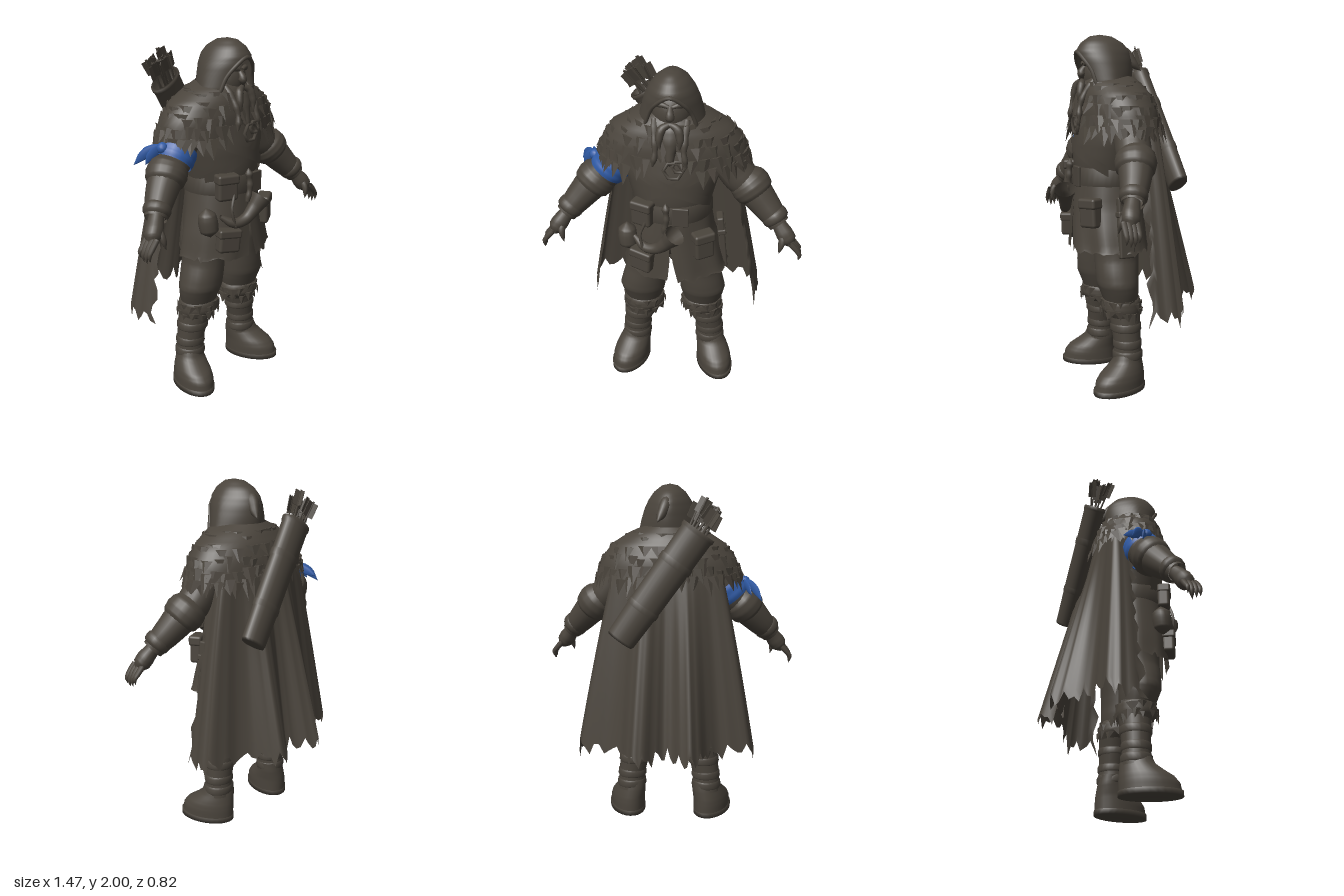
import * as THREE from 'three';
import { mergeGeometries, mergeVertices } from 'three/addons/utils/BufferGeometryUtils.js';
import { RoundedBoxGeometry } from 'three/addons/geometries/RoundedBoxGeometry.js';

const V = (x, y, z) => new THREE.Vector3(x, y, z);
const lerp = THREE.MathUtils.lerp;
let seed = 7;
const rnd = () => (seed = (seed * 16807) % 2147483647) / 2147483647;

// Smooth surface from a rule (u, v in 0..1) -> point
function grid(fn, nu, nv) {
  const pos = [], idx = [];
  for (let j = 0; j <= nv; j++) for (let i = 0; i <= nu; i++) pos.push(...fn(i / nu, j / nv).toArray());
  for (let j = 0; j < nv; j++) for (let i = 0; i < nu; i++) {
    const a = j * (nu + 1) + i, b = a + nu + 1;
    idx.push(a, b, a + 1, b, b + 1, a + 1);
  }
  let g = new THREE.BufferGeometry();
  g.setAttribute('position', new THREE.Float32BufferAttribute(pos, 3));
  g.setIndex(idx);
  g = mergeVertices(g, 1e-5);
  g.computeVertexNormals();
  return g;
}

// Rings run top to bottom: [y, half width, front z, back z, centre x, opening half-angle at the front]
function ringPoint(rings, y, t, grow = 0) {
  let k = 0;
  while (k < rings.length - 2 && y < rings[k + 1][0]) k++;
  const A = rings[k], B = rings[k + 1], f = THREE.MathUtils.clamp((A[0] - y) / (A[0] - B[0] || 1), 0, 1);
  const [rx, zf, zb, cx, op] = [1, 2, 3, 4, 5].map(n => lerp(A[n] ?? 0, B[n] ?? 0, f));
  const a = lerp(op, Math.PI * 2 - op, t);
  return V(cx + (rx + grow) * Math.sin(a), y, (zf + zb) / 2 + ((zf - zb) / 2 + grow) * Math.cos(a));
}
const shell = (rings, seg = 32, sub = 3, move = p => p) => grid((u, v) => {
  const s = v * (rings.length - 1), k = Math.min(Math.floor(s), rings.length - 2), A = rings[k], B = rings[k + 1];
  // flat steps have no height, so blend their two rings directly
  const p = A[0] === B[0] ? ringPoint([A, A], A[0], u).lerp(ringPoint([B, B], B[0], u), s - k) : ringPoint([A, B], lerp(A[0], B[0], s - k), u);
  return move(p, u, v);
}, seg, (rings.length - 1) * sub);

// Round limb along a path; the radii are spread evenly over its length
function limb(points, radii, seg = 12, n = 20, flat = 1) {
  const c = new THREE.CatmullRomCurve3(points.map(p => V(...p)));
  const fr = c.computeFrenetFrames(n, false);
  return grid((u, v) => {
    const j = Math.round(v * n), s = v * (radii.length - 1), k = Math.min(Math.floor(s), radii.length - 2);
    const r = lerp(radii[k], radii[k + 1], s - k), a = u * Math.PI * 2;
    return c.getPointAt(v).addScaledVector(fr.normals[j], r * Math.cos(a)).addScaledVector(fr.binormals[j], r * flat * Math.sin(a));
  }, seg, n);
}

// Rows of pointed fur tufts hanging on a ring surface
function furTufts(rings, rows, len, width, flare) {
  const pos = [];
  for (const [y, count] of rows) for (let i = 0; i < count; i++) {
    const t = (i + 0.3 + rnd() * 0.4) / count, yy = y + (rnd() - 0.5) * 0.03;
    const c = ringPoint(rings, yy, t), o = ringPoint(rings, yy, t, 1).sub(c).normalize();
    const side = V(o.z, 0, -o.x).normalize().multiplyScalar(width * (0.7 + rnd() * 0.6));
    const L = c.clone().sub(side), R = c.clone().add(side), M = c.clone().addScaledVector(o, 0.012);
    const T = c.clone().addScaledVector(o, flare * (0.5 + rnd()));
    T.y -= len * (0.7 + rnd() * 0.6);
    T.addScaledVector(side, rnd() - 0.5);
    for (const p of [L, T, M, M, T, R, L, M, R]) pos.push(p.x, p.y, p.z);
  }
  const g = new THREE.BufferGeometry();
  g.setAttribute('position', new THREE.Float32BufferAttribute(pos, 3));
  g.computeVertexNormals();
  return g;
}

export function createModel() {
  seed = 7;
  const brown = new THREE.MeshStandardMaterial({ color: 0x4a443c, side: THREE.DoubleSide, name: 'darkBrown' });
  const blue = new THREE.MeshStandardMaterial({ color: 0x305ba6, side: THREE.DoubleSide, name: 'blueCloth' });
  const model = new THREE.Group();
  const add = (name, geo, mat = brown, parent = model) => {
    const m = new THREE.Mesh(geo, mat);
    m.name = name;
    parent.add(m);
    return m;
  };
  const box = (name, w, h, d, x, y, z, rz = 0, ry = 0) => {
    const m = add(name, new RoundedBoxGeometry(w, h, d, 2, Math.min(w, h, d) * 0.25));
    m.position.set(x, y, z);
    m.rotation.set(0, ry, rz);
  };

  // Torso, belt and split tunic skirt
  const torso = [[1.74, 0.1, 0.18, -0.02], [1.66, 0.22, 0.22, -0.09], [1.55, 0.28, 0.25, -0.11], [1.42, 0.265, 0.275, -0.11],
    [1.3, 0.235, 0.28, -0.1], [1.2, 0.21, 0.27, -0.1], [1.1, 0.22, 0.27, -0.1], [0.9, 0.2, 0.2, -0.06], [0.86, 0, 0.07, 0.07]];
  add('torso', shell(torso));
  const skirt = [[1.2, 0.215, 0.28, -0.105, 0, 0], [1.05, 0.24, 0.295, -0.11, 0, 0.01], [0.92, 0.275, 0.305, -0.12, 0.01, 0.03], [0.78, 0.305, 0.315, -0.13, 0.02, 0.1]];
  add('tunicSkirt', shell(skirt, 60, 4, (p, u, v) => {
    if (v > 0.99) p.y += rnd() * 0.035;
    const w = 0.008 * v * Math.sin(u * 50);
    return p.add(V(w, 0, w));
  }));
  add('belt', shell([[1.265, 0.2, 0.27, -0.1], [1.265, 0.222, 0.292, -0.115], [1.165, 0.228, 0.295, -0.12], [1.165, 0.2, 0.27, -0.1]], 40, 1));
  box('beltBuckle', 0.09, 0.115, 0.02, 0.06, 1.215, 0.29);
  for (const s of [1, -1]) add('chestStrap', grid((u, v) => {
    const a = lerp(-1.2, 1.2, u) * s, y = lerp(1.52, 1.25, u) + (v - 0.5) * 0.06;
    return ringPoint(torso, y, (a / (Math.PI * 2) + 1) % 1, s > 0 ? 0.012 : 0.007);
  }, 24, 2));

  // Legs: baggy trousers, fur cuffs, wrapped boots
  for (const s of [1, -1]) {
    const leg = new THREE.Group();
    leg.name = s > 0 ? 'leftLeg' : 'rightLeg';
    leg.scale.x = s;
    model.add(leg);
    add('trouserLeg', shell([[1.0, 0.1, 0.17, -0.07, 0.12], [0.88, 0.13, 0.22, -0.06, 0.14], [0.76, 0.122, 0.215, -0.04, 0.15], [0.68, 0.13, 0.215, -0.03, 0.168], [0.61, 0.135, 0.21, -0.025, 0.18],
      [0.56, 0.125, 0.19, -0.025, 0.18], [0.48, 0.1, 0.16, -0.02, 0.18]], 24), brown, leg);
    const cuff = [[0.535, 0.09, 0.16, -0.02, 0.178], [0.51, 0.118, 0.182, -0.038, 0.178], [0.46, 0.122, 0.185, -0.042, 0.178], [0.42, 0.1, 0.15, -0.03, 0.19]];
    add('furCuff', shell(cuff, 24), brown, leg);
    add('cuffFur', furTufts(cuff, [[0.51, 13], [0.455, 15]], 0.05, 0.03, 0.006), brown, leg);
    const shaft = [[0.46, 0.098, 0.15, -0.035, 0.19], [0.36, 0.088, 0.138, -0.028, 0.212], [0.26, 0.08, 0.128, -0.025, 0.228], [0.16, 0.084, 0.135, -0.032, 0.232]];
    add('bootShaft', shell(shaft, 24), brown, leg);
    for (const y of [0.36, 0.265, 0.2]) {
      const r = (dy, g) => { const q = ringPoint(shaft, y + dy, 0.25, g), f = ringPoint(shaft, y, 0, g), b = ringPoint(shaft, y, 0.5, g); return [y + dy, q.x - f.x, f.z, b.z, f.x]; };
      add('bootWrap', shell([r(0.024, 0), r(0.014, 0.006), r(-0.014, 0.006), r(-0.024, 0)], 24, 1), brown, leg);
    }
    const turn = p => { p.x += (p.z - 0.08) * 0.2; return p; };
    add('foot', shell([[0.22, 0.08, 0.125, -0.025, 0.232], [0.17, 0.088, 0.145, -0.035, 0.24], [0.135, 0.096, 0.19, -0.04, 0.248], [0.105, 0.102, 0.235, -0.044, 0.254], [0.07, 0.106, 0.262, -0.046, 0.257], [0.025, 0.106, 0.27, -0.046, 0.258]], 28, 3, turn), brown, leg);
    add('sole', shell([[0.03, 0.1, 0.26, -0.04, 0.258], [0.03, 0.11, 0.277, -0.05, 0.26], [0, 0.11, 0.277, -0.05, 0.26], [0, 0, 0.1, 0.1, 0.26]], 28, 1, turn), brown, leg);
  }

  // Arms: sleeve, elbow puff, forearm, cuff and hand
  for (const s of [1, -1]) {
    const arm = new THREE.Group();
    arm.name = s > 0 ? 'leftArm' : 'rightArm';
    arm.scale.x = s;
    model.add(arm);
    add('upperSleeve', limb([[0.2, 1.6, 0.05], [0.29, 1.48, 0.06], [0.36, 1.38, 0.07], [0.44, 1.3, 0.09]], [0.08, 0.105, 0.1, 0.098, 0.085], 20), brown, arm);
    add('elbowPuff', limb([[0.38, 1.375, 0.07], [0.43, 1.32, 0.085], [0.485, 1.255, 0.11]], [0.08, 0.108, 0.114, 0.106, 0.07], 20), brown, arm);
    add('forearm', limb([[0.42, 1.33, 0.08], [0.52, 1.22, 0.125], [0.6, 1.13, 0.17]], [0.1, 0.09, 0.077, 0.06], 18), brown, arm);
    add('sleeveCuff', limb([[0.55, 1.193, 0.143], [0.575, 1.165, 0.155], [0.599, 1.137, 0.167]], [0.06, 0.074, 0.076, 0.072, 0.05], 18, 8), brown, arm);
    add('palm', limb([[0.59, 1.14, 0.165], [0.63, 1.085, 0.19], [0.675, 1.02, 0.21]], [0.04, 0.044, 0.05, 0.048, 0.02], 12, 12), brown, arm);
    for (let i = 0; i < 4; i++) {
      const z = 0.175 + i * 0.023, d = [0.02, 0.005, 0, 0.012][i];
      add('finger', limb([[0.665, 1.05, z], [0.705, 1.005, z + 0.003], [0.722, 0.965 + d, z + 0.004], [0.717, 0.93 + d, z + 0.005]], [0.016, 0.017, 0.015, 0.012, 0], 8, 10), brown, arm);
    }
    add('thumb', limb([[0.62, 1.09, 0.21], [0.618, 1.04, 0.24], [0.606, 0.98, 0.25]], [0.018, 0.02, 0.015, 0], 8, 8), brown, arm);
  }

  // Blue armband with knot and loose tails
  add('armband', limb([[-0.315, 1.437, 0.064], [-0.345, 1.4, 0.067], [-0.375, 1.363, 0.072]], [0.106, 0.112, 0.11, 0.112, 0.104], 24, 10), blue);
  add('armbandKnot', new THREE.SphereGeometry(0.032, 12, 8), blue).position.set(-0.435, 1.455, 0.06);
  for (const e of [[-0.535, 1.36, -0.06], [-0.475, 1.4, -0.09], [-0.515, 1.37, 0.01]])
    add('armbandTail', limb([[-0.42, 1.46, 0.06], [(e[0] - 0.43) / 2, 1.435, (e[2] + 0.06) / 2], e], [0.014, 0.027, 0.025, 0], 8, 10, 0.25), blue);

  // Fur mantle
  const mantle = [[1.77, 0.14, 0.21, -0.06], [1.73, 0.23, 0.235, -0.1], [1.67, 0.325, 0.255, -0.14, 0, 0.02], [1.59, 0.385, 0.27, -0.17, 0, 0.12], [1.49, 0.415, 0.272, -0.185, 0, 0.42]];
  add('mantle', shell(mantle, 48));
  add('mantleFur', furTufts(mantle, [[1.73, 18], [1.67, 22], [1.615, 26], [1.555, 30], [1.505, 36]], 0.09, 0.042, 0.028));

  // Cape: a folded cross-section that widens to a ragged hem
  const curve = a => new THREE.CatmullRomCurve3(a.map(([x, z]) => V(x, 0, z)));
  const capeTop = curve([[-0.27, 0.0], [-0.28, -0.08], [-0.2, -0.11], [-0.1, -0.125], [0, -0.125], [0.1, -0.125], [0.2, -0.11], [0.28, -0.08], [0.27, 0.0]]);
  const capeHem = curve([[-0.49, 0.01], [-0.5, -0.16], [-0.28, -0.23], [-0.15, -0.4], [0, -0.29], [0.15, -0.41], [0.28, -0.24], [0.51, -0.16], [0.5, 0.01]]);
  const hemY = Array.from({ length: 73 }, (_, i) => 0.45 + (i % 4) * 0.02 + rnd() * 0.05 - (i < 9 || i > 63 ? 0.04 : 0));
  add('cape', grid((u, v) => {
    const a = capeTop.getPoint(u), b = capeHem.getPoint(u);
    const p = V(lerp(a.x, b.x, v ** 0.85), lerp(1.6, hemY[Math.round(u * 72)], v), lerp(a.z, b.z, v));
    if (u === 0 || u === 1) p.z += (rnd() - 0.5) * 0.05;
    return p;
  }, 72, 24));

  // Hood, narrower at the back, with rim and curled tip
  const hood = [[2.0, 0, 0.13, 0.13], [1.99, 0.045, 0.19, 0.06], [1.955, 0.09, 0.24, -0.005], [1.91, 0.122, 0.268, -0.045, 0, 0], [1.86, 0.145, 0.268, -0.058, 0, 0.5],
    [1.8, 0.163, 0.255, -0.06, 0, 0.72], [1.73, 0.18, 0.245, -0.055, 0, 0.82], [1.66, 0.175, 0.23, -0.05, 0, 1.0]];
  add('hood', shell(hood, 40, 3, p => {
    p.x *= 1 - 1.6 * Math.max(0, 0.1 - p.z);
    return p;
  }));
  const rimY = [1.67, 1.73, 1.8, 1.86];
  const rim = [...rimY.map(y => ringPoint(hood, y, 0)), V(0, 1.905, 0.268), ...rimY.reverse().map(y => ringPoint(hood, y, 1))];
  add('hoodRim', new THREE.TubeGeometry(new THREE.CatmullRomCurve3(rim), 40, 0.011, 8));
  add('hoodTip', limb([[0.0, 1.93, 0.03], [0.015, 1.89, -0.025], [0.035, 1.84, -0.06], [0.055, 1.8, -0.1]], [0.02, 0.036, 0.032, 0.024, 0], 12, 14));

  // Head, face and beard
  const head = add('head', new THREE.SphereGeometry(0.12, 24, 18));
  head.position.set(0, 1.78, 0.11);
  head.scale.set(0.95, 1.15, 1);
  add('nose', limb([[0, 1.83, 0.215], [0, 1.79, 0.24], [0, 1.755, 0.225]], [0.012, 0.018, 0.026, 0], 10, 10));
  add('beard', shell([[1.76, 0.09, 0.2, 0.1], [1.72, 0.085, 0.25, 0.12], [1.66, 0.065, 0.275, 0.16], [1.6, 0.035, 0.285, 0.2], [1.55, 0.022, 0.292, 0.25], [1.52, 0, 0.28, 0.28]], 20));
  for (const s of [1, -1]) {
    add('brow', limb([[0.01 * s, 1.835, 0.225], [0.045 * s, 1.843, 0.215], [0.085 * s, 1.825, 0.185]], [0.01, 0.016, 0.006], 8, 8));
    add('moustache', limb([[0.005 * s, 1.745, 0.24], [0.04 * s, 1.725, 0.252], [0.055 * s, 1.67, 0.268], [0.05 * s, 1.62, 0.275]], [0.015, 0.024, 0.02, 0.004], 10, 12));
    add('sideBraid', limb([[0.085 * s, 1.75, 0.19], [0.08 * s, 1.68, 0.245], [0.075 * s, 1.6, 0.275], [0.09 * s, 1.52, 0.285]], [0.018, 0.022, 0.016, 0.02, 0.014, 0.018, 0.004], 10, 24));
  }
  for (const [x, y, r] of [[0.02, 1.5, 0.052], [0.05, 1.525, 0.035]])
    add('cloakClasp', new THREE.TorusGeometry(r, 0.01, 8, 6)).position.set(x, y, 0.285);

  // Belt gear: pouches, dagger, scabbard, flask and horn
  box('beltPouch', 0.12, 0.14, 0.07, -0.15, 1.215, 0.26, 0, -0.4);
  box('beltPouchFlap', 0.128, 0.055, 0.078, -0.15, 1.265, 0.262, 0, -0.4);
  box('hipPouch', 0.115, 0.15, 0.07, 0.185, 1.015, 0.255, 0.05, 0.5);
  box('hipPouchFlap', 0.125, 0.06, 0.08, 0.185, 1.075, 0.257, 0.05, 0.5);
  box('lowerPouch', 0.13, 0.13, 0.07, -0.155, 0.915, 0.28, -0.08, -0.4);
  box('lowerPouchFlap', 0.138, 0.05, 0.078, -0.155, 0.96, 0.282, -0.08, -0.4);
  box('scabbard', 0.04, 0.34, 0.09, 0.285, 0.945, 0.085, 0.1, 0.1);
  box('scabbardStrap', 0.05, 0.035, 0.1, 0.28, 1.02, 0.085, 0.1, 0.1);
  add('daggerGrip', limb([[-0.03, 1.12, 0.31], [-0.015, 1.2, 0.315], [-0.02, 1.31, 0.305]], [0.012, 0.018, 0.014, 0.019, 0.014, 0.024, 0], 10, 20));
  add('flask', limb([[-0.25, 1.11, 0.2], [-0.245, 1.03, 0.21], [-0.235, 0.94, 0.22]], [0, 0.048, 0.055, 0.055, 0.052, 0], 14, 14));
  add('horn', limb([[-0.2, 1.06, 0.26], [-0.13, 1.015, 0.305], [-0.06, 1.03, 0.325], [-0.01, 1.08, 0.34], [0.035, 1.14, 0.355]], [0.012, 0.025, 0.03, 0.034, 0.042, 0.06], 16, 24));
  add('hornStrap', limb([[-0.13, 1.18, 0.3], [-0.16, 1.1, 0.31], [-0.14, 1.0, 0.32]], [0.009, 0.009], 6, 8));

  // Quiver slung across the back, wider than deep, with arrows
  const quiver = new THREE.Group();
  quiver.name = 'quiver';
  const low = V(0.25, 1.165, -0.25), high = V(-0.18, 1.765, -0.175);
  quiver.position.copy(low);
  quiver.quaternion.setFromUnitVectors(V(0, 1, 0), high.clone().sub(low).normalize());
  quiver.scale.set(1.5, 1, 0.93);
  model.add(quiver);
  const len = high.distanceTo(low);
  const profile = [[0, 0], [0.052, 0], [0.056, 0.015], [0.06, 0.2], [0.064, 0.205], [0.064, 0.235], [0.061, 0.24], [0.063, 0.5], [0.067, 0.505], [0.067, 0.54], [0.063, 0.545], [0.064, len - 0.03], [0.068, len - 0.02], [0.068, len], [0.055, len], [0.055, len - 0.08], [0, len - 0.08]];
  add('quiverCase', new THREE.LatheGeometry(profile.map(p => new THREE.Vector2(...p)), 20), brown, quiver);
  for (let i = 0; i < 9; i++) {
    const a = i * 2.4, r = 0.013 * Math.sqrt(i) + 0.004, h = 0.12 + rnd() * 0.06;
    const parts = [new THREE.CylinderGeometry(0.005, 0.005, h + 0.08, 6).translate(0, h / 2 - 0.04, 0)];
    for (let k = 0; k < 3; k++) parts.push(new THREE.BoxGeometry(0.03, 0.085, 0.003).translate(0.012, h - 0.05, 0).rotateY(k * 2.1));
    const arrow = add('arrow', mergeGeometries(parts), brown, quiver);
    arrow.position.set(Math.cos(a) * r, len, Math.sin(a) * r);
    arrow.rotation.set(Math.sin(a) * r * 4, a, -Math.cos(a) * r * 4);
  }
  return model;
}
